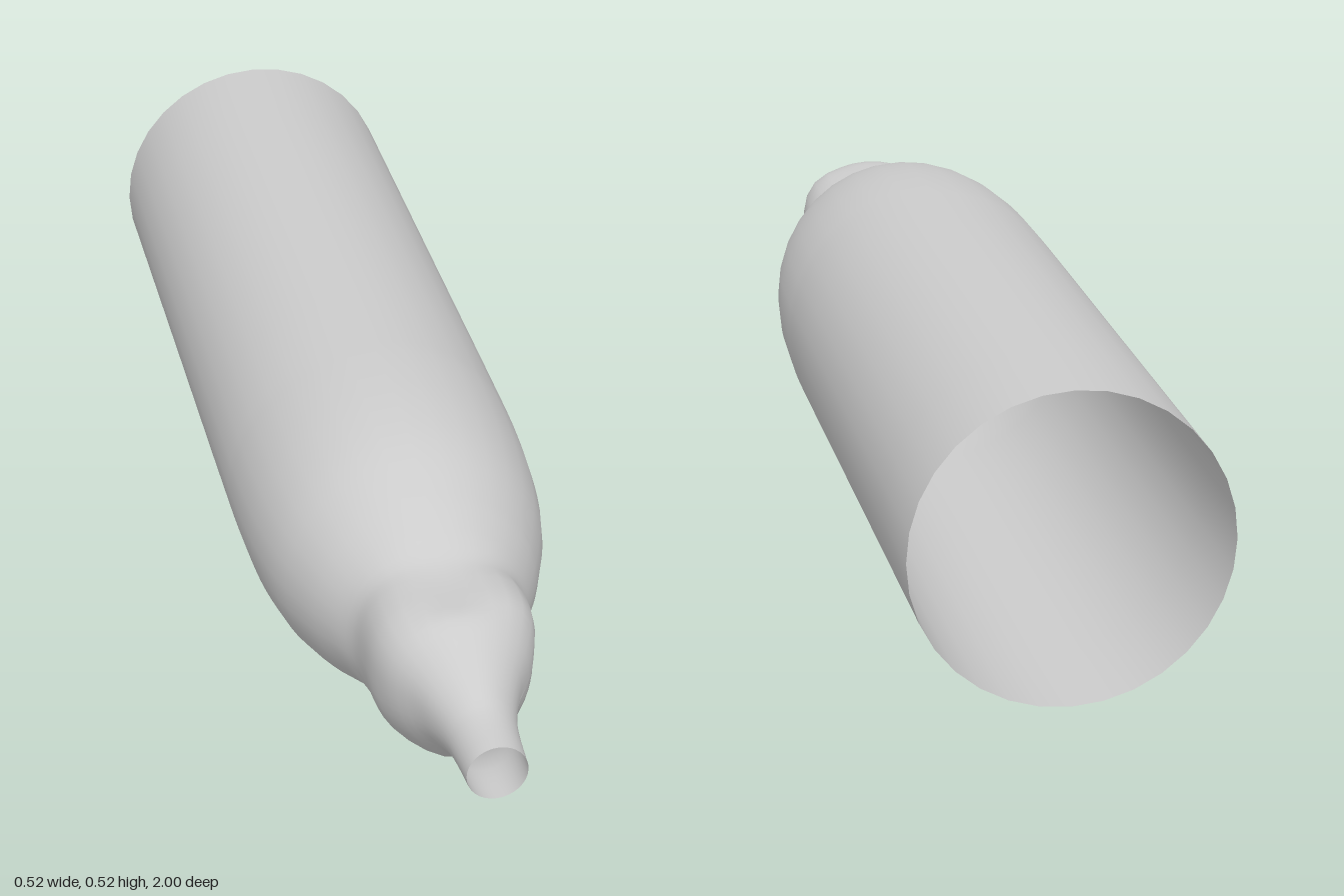
import * as THREE from 'three';
import { mergeVertices } from 'three/addons/utils/BufferGeometryUtils.js';

const AXIS_Y = 0.262;
const SEGMENTS = 32;

// Cross-sections along z: one radius for round rings, or eight radii
// going round from +x through the top for the crumpled shoulder.
const SECTIONS = [
  [-1, [0.261]], [-0.4, [0.261]], [0.1, [0.261]], [0.2, [0.259]],
  [0.3, [0.252]], [0.4, [0.235]], [0.5, [0.2]], [0.56, [0.172]],
  [0.61, [0.149, 0.155, 0.143, 0.155, 0.149, 0.158, 0.166, 0.16]],
  [0.66, [0.143, 0.16, 0.134, 0.156, 0.142, 0.15, 0.168, 0.162]],
  [0.72, [0.131, 0.158, 0.135, 0.155, 0.137, 0.146, 0.163, 0.147]],
  [0.77, [0.115, 0.134, 0.135, 0.14, 0.12, 0.122, 0.143, 0.12]],
  [0.82, [0.085, 0.1, 0.108, 0.104, 0.087, 0.088, 0.1, 0.09]],
  [0.87, [0.066, 0.07, 0.077, 0.072, 0.066, 0.068, 0.072, 0.067]],
  [0.92, [0.056]], [1, [0.05]],
];

function catmull(a, b, c, d, t) {
  return 0.5 * (2 * b + (c - a) * t + (2 * a - 5 * b + 4 * c - d) * t * t
    + (3 * b - a - 3 * c + d) * t * t * t);
}

// Radius of one section at a turn of 0..1
function ringRadius(radii, turn) {
  const n = radii.length, f = turn * n, i = Math.floor(f);
  const at = (k) => radii[(k + n) % n];
  return catmull(at(i - 1), at(i), at(i + 1), at(i + 2), f - i);
}

// Smooth radius between sections, with slopes that allow uneven spacing
function radiusAt(i, t, turn) {
  const last = SECTIONS.length - 1;
  const z = (k) => SECTIONS[k][0];
  const r = (k) => ringRadius(SECTIONS[k][1], turn);
  const slope = (k) => {
    const a = Math.max(k - 1, 0), b = Math.min(k + 1, last);
    return (r(b) - r(a)) / (z(b) - z(a));
  };
  const h = z(i + 1) - z(i), t2 = t * t, t3 = t2 * t;
  return (2 * t3 - 3 * t2 + 1) * r(i) + (t3 - 2 * t2 + t) * h * slope(i)
    + (3 * t2 - 2 * t3) * r(i + 1) + (t3 - t2) * h * slope(i + 1);
}

function shellGeometry() {
  const positions = [], index = [], steps = 3;
  const rings = (SECTIONS.length - 1) * steps + 1;
  for (let j = 0; j < rings; j++) {
    const i = Math.min(Math.floor(j / steps), SECTIONS.length - 2);
    const t = j / steps - i;
    const z = THREE.MathUtils.lerp(SECTIONS[i][0], SECTIONS[i + 1][0], t);
    // The seam on the +x side opens into a narrow slit
    const s = (z - 0.66) / 0.19;
    const gap = s > 0.01 && s < 0.99 ? 0.003 * Math.sin(Math.PI * s) : 0;
    for (let k = 0; k <= SEGMENTS; k++) {
      const turn = k / SEGMENTS, angle = turn * Math.PI * 2;
      const r = radiusAt(i, t, turn % 1);
      const shift = k === 0 ? gap : k === SEGMENTS ? -gap : 0;
      positions.push(r * Math.cos(angle), AXIS_Y + r * Math.sin(angle) + shift, z);
    }
  }
  const row = SEGMENTS + 1;
  for (let j = 0; j < rings - 1; j++) {
    for (let k = 0; k < SEGMENTS; k++) {
      const a = j * row + k, b = a + 1, c = a + row, d = c + 1;
      index.push(a, b, d, a, d, c);
    }
  }
  const geometry = new THREE.BufferGeometry();
  geometry.setAttribute('position', new THREE.Float32BufferAttribute(positions, 3));
  geometry.setIndex(index);
  // Weld the seam everywhere except along the slit
  const welded = mergeVertices(geometry, 1e-5);
  welded.computeVertexNormals();
  return welded;
}

export function createModel() {
  const group = new THREE.Group();
  group.name = 'taperedTube';
  const material = new THREE.MeshStandardMaterial({ color: 0xcccccc, side: THREE.DoubleSide });
  const shell = new THREE.Mesh(shellGeometry(), material);
  shell.name = 'tubeShell';
  group.add(shell);
  return group;
}
